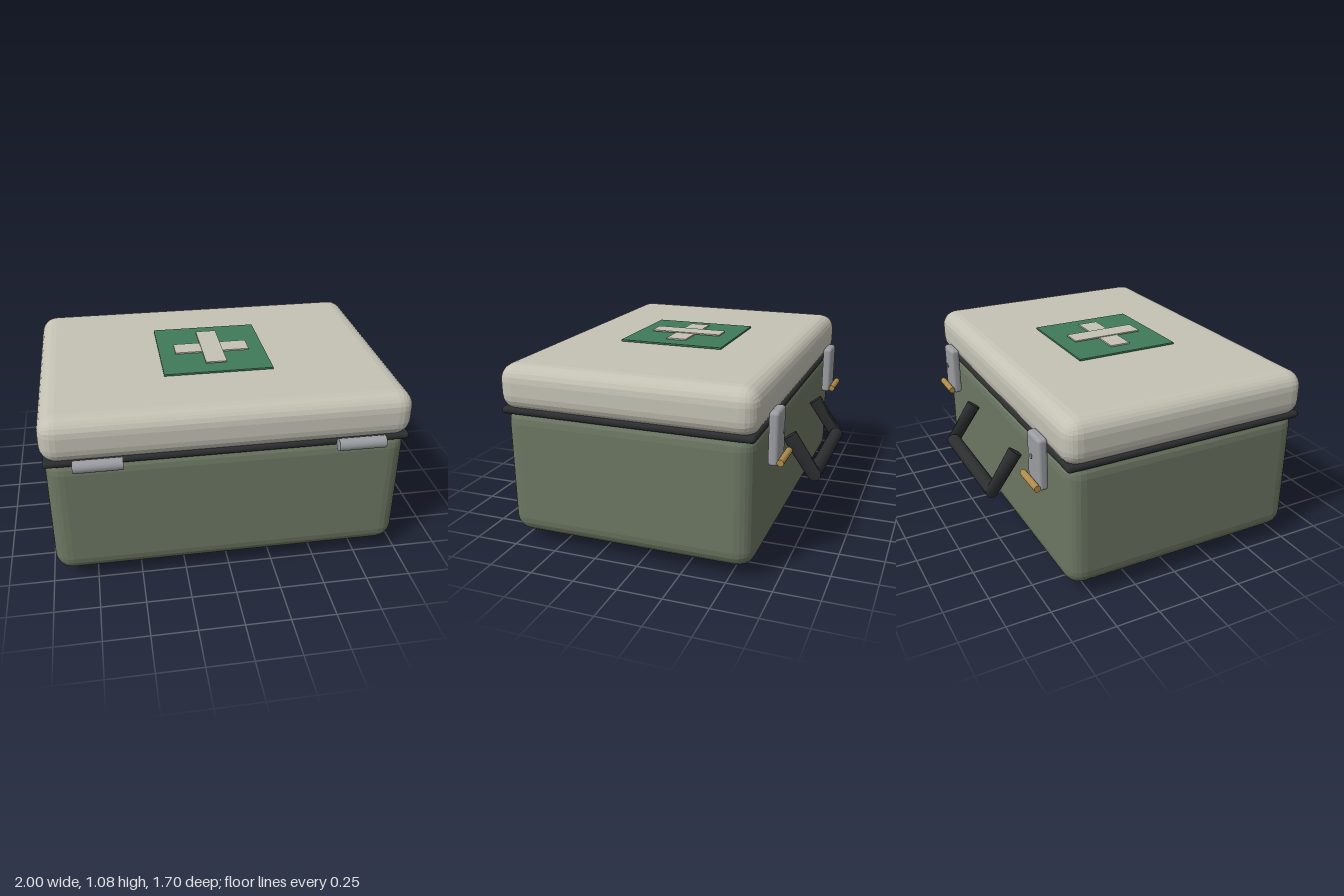
import * as THREE from 'three';
import { RoundedBoxGeometry } from 'three/addons/geometries/RoundedBoxGeometry.js';
import { toCreasedNormals } from 'three/addons/utils/BufferGeometryUtils.js';

const material = (color, flatShading = false) => new THREE.MeshStandardMaterial({ color, flatShading });

// Handle lofted through round sections: flared feet narrowing into a cranked grip
function handleGeometry() {
  const sides = 16;
  const across = new THREE.Vector3(0, 0.58, -0.81).normalize(); // normal of the handle's plane
  const down = new THREE.Vector3(0, -0.81, -0.58).normalize();
  const foot = x => new THREE.Vector3(x, 0.61, -0.662);
  const corner = x => new THREE.Vector3(x, 0.397, -0.807);
  const out = new THREE.Vector3(1, 0, 0);
  const lean = s => new THREE.Vector3(0.24 * s, 0, 0).addScaledVector(down, 0.97);
  const sections = [
    [foot(0.35), out, 0], [foot(0.35), out, 0.042],
    [corner(0.35), lean(1), 0.042], [corner(-0.35), lean(-1), 0.042],
    [foot(-0.35), out.clone().negate(), 0.042], [foot(-0.35), out.clone().negate(), 0],
  ];
  const positions = [], index = [];
  sections.forEach(([centre, outer, radius], i) => {
    for (let j = 0; j < sides; j++) {
      const a = (j / sides) * Math.PI * 2;
      const p = centre.clone()
        .addScaledVector(outer, radius * Math.cos(a))
        .addScaledVector(across, radius * Math.sin(a));
      positions.push(p.x, p.y, p.z);
      if (i === 0) continue;
      const k = (j + 1) % sides, r = i * sides, q = r - sides;
      index.push(q + j, q + k, r + j, q + k, r + k, r + j);
    }
  });
  const geometry = new THREE.BufferGeometry();
  geometry.setAttribute('position', new THREE.Float32BufferAttribute(positions, 3));
  geometry.setIndex(index);
  return toCreasedNormals(geometry, 0.6);
}

export function createModel() {
  const model = new THREE.Group();
  model.name = 'firstAidCase';

  const green = material(0x6c7662, true);
  const cream = material(0xc4c2b4, true);
  const black = material(0x2c2d2f);
  const steel = material(0x9b9da2);
  const brass = material(0xb08c4a);
  const badgeGreen = material(0x3f7a5a);

  const add = (name, geometry, mat, x, y, z) => {
    const mesh = new THREE.Mesh(geometry, mat);
    mesh.name = name;
    mesh.position.set(x, y, z);
    model.add(mesh);
    return mesh;
  };
  const rounded = (w, h, d, r, segments = 3) => new RoundedBoxGeometry(w, h, d, segments, r);
  const midZ = 0.075;

  // Case shell, seal and lid
  add('body', rounded(1.96, 0.755, 1.41, 0.1), green, 0, 0.4425, midZ);
  add('seal', rounded(1.97, 0.04, 1.42, 0.019), black, 0, 0.794, midZ);
  add('lid', rounded(2, 0.262, 1.45, 0.095), cream, 0, 0.919, midZ);

  // Badge with a cross on the lid
  add('badge', new THREE.BoxGeometry(0.615, 0.01, 0.615), badgeGreen, 0, 1.061, 0.072);
  add('crossBarWide', new THREE.BoxGeometry(0.43, 0.008, 0.12), cream, 0, 1.072, 0.072);
  add('crossBarLong', new THREE.BoxGeometry(0.12, 0.008, 0.43), cream, 0, 1.077, 0.072);

  for (const side of [-1, 1]) {
    // Hinge barrels at the front
    add('hinge', new THREE.CylinderGeometry(0.034, 0.034, 0.26, 20), steel, side * 0.703, 0.797, 0.816)
      .rotation.z = Math.PI / 2;

    // Latches at the back: plate, pull bar and rivet
    const x = side * 0.7;
    add('latchPlate', rounded(0.155, 0.295, 0.055, 0.02), steel, x, 0.733, -0.672);
    add('latchBar', new THREE.CylinderGeometry(0.019, 0.019, 0.193, 14), brass, x, 0.62, -0.718)
      .rotation.z = Math.PI / 2;
    add('latchRivet', new THREE.CylinderGeometry(0.014, 0.014, 0.005, 14), steel, x, 0.76, -0.71)
      .rotation.x = Math.PI / 2;

    // Rubber feet
    for (const z of [0.53, -0.375]) {
      add('foot', rounded(0.2, 0.044, 0.2, 0.02, 2), black, x, 0.024, z);
    }
  }

  // Carrying handle at the back
  const handle = add('handle', handleGeometry(), black.clone(), 0, 0, 0);
  handle.material.side = THREE.DoubleSide;

  return model;
}
